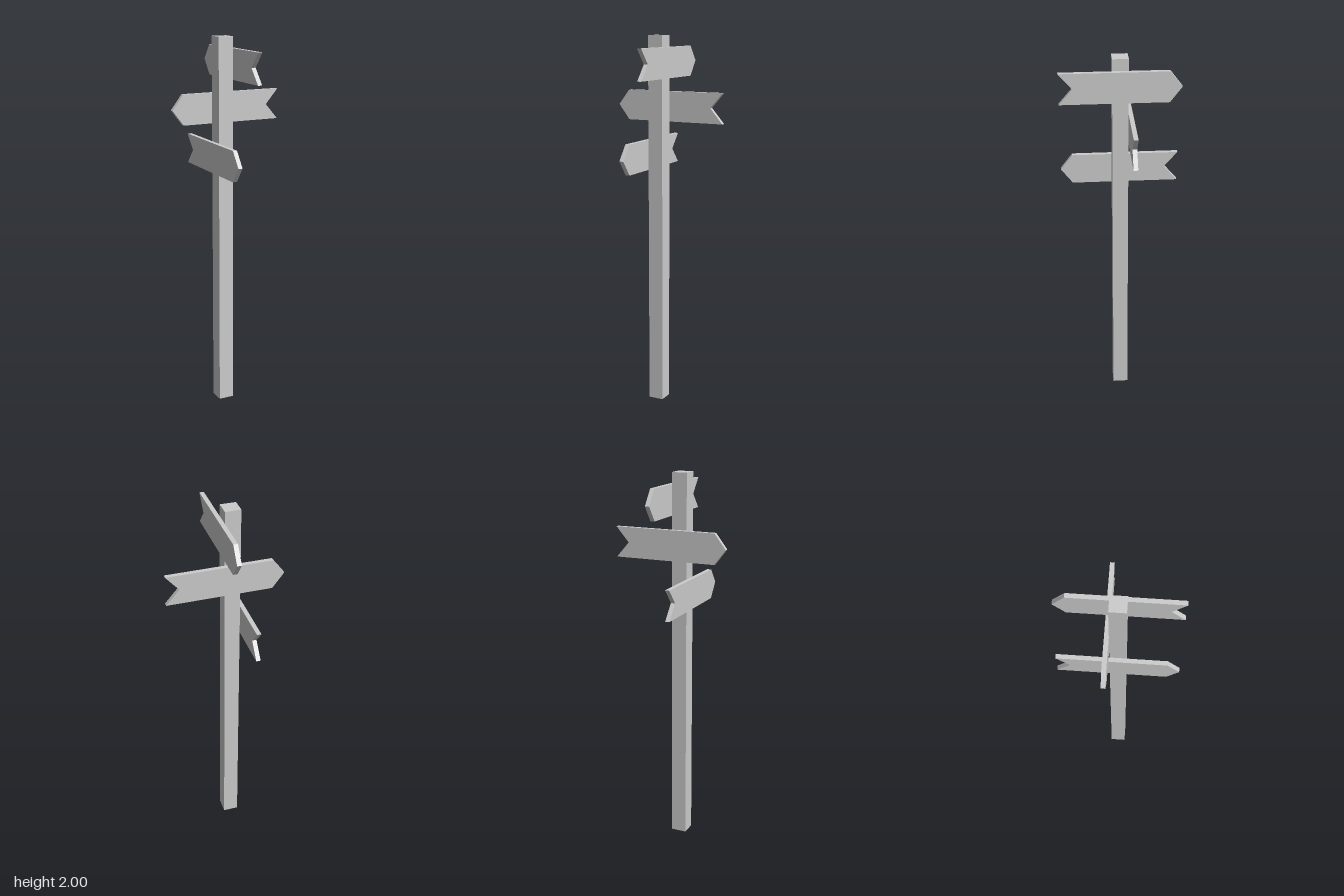
import * as THREE from 'three';

const HALF_LENGTH = 0.306, HALF_HEIGHT = 0.08, THICKNESS = 0.023;

// Arrow board: pointed at -x, notched at +x, centred on its origin
function arrowGeometry() {
  const shape = new THREE.Shape([
    [-HALF_LENGTH, 0],
    [-0.245, -HALF_HEIGHT],
    [HALF_LENGTH, -HALF_HEIGHT],
    [0.237, 0],
    [HALF_LENGTH, HALF_HEIGHT],
    [-0.245, HALF_HEIGHT],
  ].map(([x, y]) => new THREE.Vector2(x, y)));
  const geometry = new THREE.ExtrudeGeometry(shape, { depth: THICKNESS, bevelEnabled: false });
  return geometry.translate(0, 0, -THICKNESS / 2);
}

export function createModel() {
  const group = new THREE.Group();
  group.name = 'signpost';
  const material = new THREE.MeshStandardMaterial({ color: 0xcccccc, flatShading: true });

  // Square post
  const post = new THREE.Mesh(new THREE.BoxGeometry(0.082, 2, 0.082), material);
  post.name = 'post';
  post.position.set(-0.042, 1, -0.001);
  group.add(post);

  // Three boards, each fixed to a different side of the post
  const board = arrowGeometry();
  const boards = [
    ['upperSign', 0.0115, 1.86, 0, -Math.PI / 2],
    ['middleSign', 0, 1.63, -0.0535, 0],
    ['lowerSign', -0.0945, 1.376, 0, Math.PI / 2],
  ];
  for (const [name, x, y, z, turn] of boards) {
    const sign = new THREE.Mesh(board, material);
    sign.name = name;
    sign.position.set(x, y, z);
    sign.rotation.y = turn;
    group.add(sign);
  }
  return group;
}
